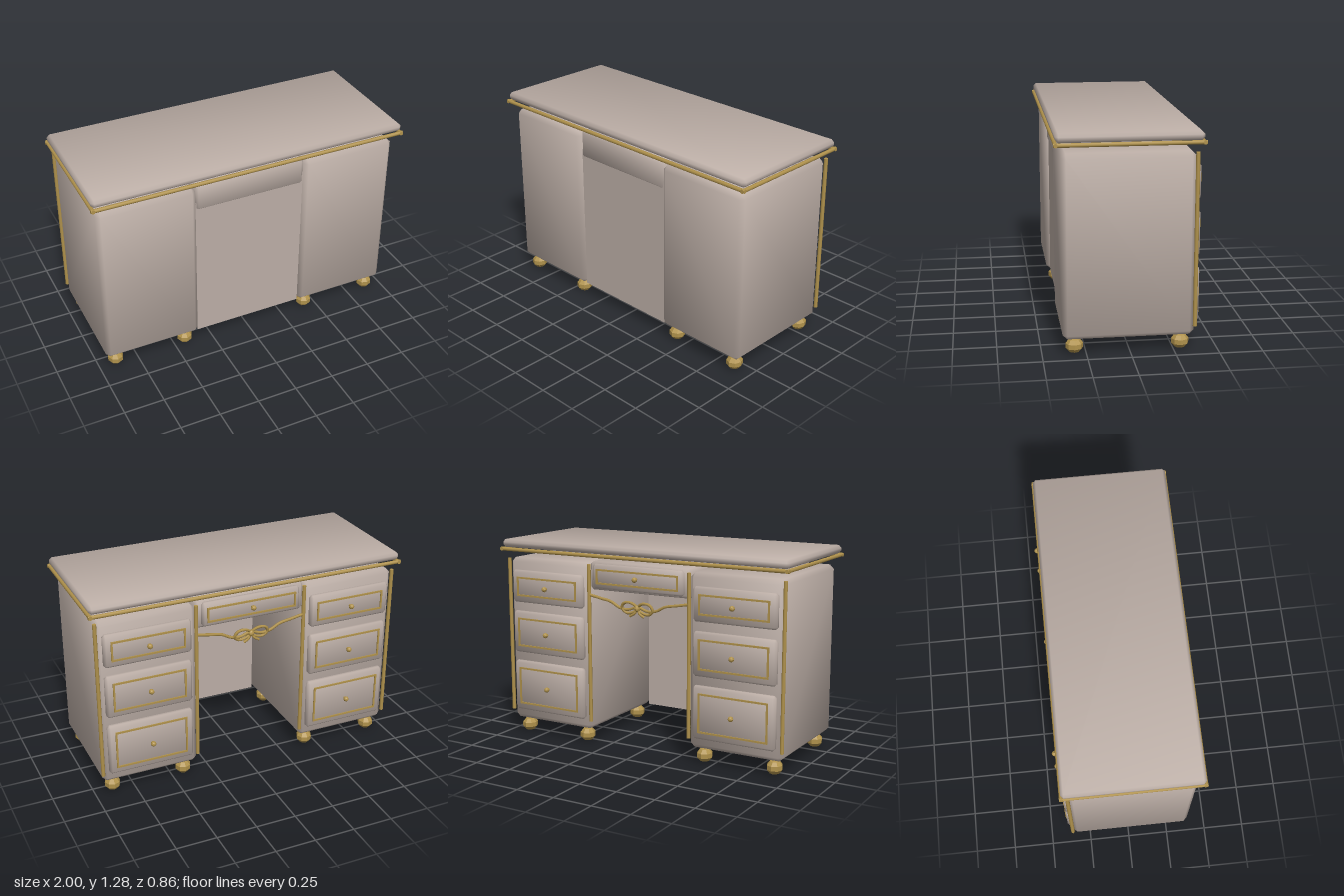
import * as THREE from 'three';
import { ConvexGeometry } from 'three/addons/geometries/ConvexGeometry.js';

const body = new THREE.MeshStandardMaterial({ color: 0xbcaea6 });
body.name = 'warm grey paint';
const gold = new THREE.MeshStandardMaterial({ color: 0xb0924c });
gold.name = 'antique gold';

// Box with one straight chamfer on every edge and softened normals
function chamferBox(w, h, d, r) {
  const half = [w / 2, h / 2, d / 2];
  const points = [];
  for (let axis = 0; axis < 3; axis++)
    for (const sx of [-1, 1]) for (const sy of [-1, 1]) for (const sz of [-1, 1]) {
      const s = [sx, sy, sz];
      points.push(new THREE.Vector3(...half.map((v, i) => s[i] * (i === axis ? v : v - r))));
    }
  const geo = new ConvexGeometry(points);
  const p = geo.attributes.position, n = geo.attributes.normal;
  const v = new THREE.Vector3();
  for (let i = 0; i < p.count; i++) {
    const c = [p.getX(i), p.getY(i), p.getZ(i)];
    v.fromArray(c.map((k, j) => Math.sign(k) * (Math.abs(Math.abs(k) - half[j]) < 1e-5 ? 1 : 0.36))).normalize();
    n.setXYZ(i, v.x, v.y, v.z);
  }
  return geo;
}

function add(parent, name, geo, mat, x = 0, y = 0, z = 0) {
  const mesh = new THREE.Mesh(geo, mat);
  mesh.name = name;
  mesh.position.set(x, y, z);
  parent.add(mesh);
  return mesh;
}

// Low-poly faceted ball
function facetedBall(r, rings) {
  const geo = new THREE.SphereGeometry(r, 8, rings).toNonIndexed();
  geo.computeVertexNormals();
  return geo;
}

// Drawer front with gilt frame and knob; back is the z of its rear face
function drawer(parent, name, x, y0, y1, width, front, inset, knobY) {
  const g = new THREE.Group();
  g.name = name;
  parent.add(g);
  const y = (y0 + y1) / 2, depth = 0.05;
  add(g, 'drawerFront', chamferBox(width, y1 - y0, depth, 0.014), body, x, y, front + depth / 2);
  const fw = width - 2 * inset, fh = y1 - y0 - 2 * inset, t = 0.011;
  for (const s of [-1, 1]) {
    add(g, 'frameRail', new THREE.BoxGeometry(fw, t, 0.014), gold, x, y + s * (fh - t) / 2, front);
    add(g, 'frameStile', new THREE.BoxGeometry(t, fh, 0.014), gold, x + s * (fw - t) / 2, y, front);
  }
  const stem = add(g, 'knobStem', new THREE.CylinderGeometry(0.007, 0.007, 0.024, 8), gold, x, knobY, front - 0.006);
  stem.rotation.x = Math.PI / 2;
  const knob = add(g, 'knob', facetedBall(0.017, 6), gold, x, knobY, front - 0.022);
  knob.rotation.x = Math.PI / 2;
}

export function createModel() {
  const desk = new THREE.Group();
  desk.name = 'desk';

  // Table top with gilt edging rods
  add(desk, 'tableTop', chamferBox(1.986, 0.05, 0.812, 0.017), body, 0, 1.25, 0.012);
  for (const s of [-1, 1]) {
    const long = add(desk, 'longEdging', new THREE.CylinderGeometry(0.012, 0.012, 2, 8), gold, 0, 1.214, 0.012 + s * 0.404);
    long.rotation.z = Math.PI / 2;
    const short = add(desk, 'shortEdging', new THREE.CylinderGeometry(0.012, 0.012, 0.832, 8), gold, s * 0.988, 1.214, 0.012);
    short.rotation.x = Math.PI / 2;
  }

  // Pedestals with feet, corner rods and three drawers each
  for (const [name, cx] of [['rightPedestal', -0.66], ['leftPedestal', 0.653]]) {
    const p = new THREE.Group();
    p.name = name;
    p.position.x = cx;
    desk.add(p);
    add(p, 'cabinet', chamferBox(0.608, 1.06, 0.744, 0.026), body, 0, 0.628, 0.013);
    for (const s of [-1, 1]) {
      add(p, 'cornerRod', new THREE.CylinderGeometry(0.012, 0.012, 1, 8), gold, s * 0.305, 0.655, -0.361);
      for (const z of [0.316, -0.29]) {
        const foot = add(p, 'foot', facetedBall(0.053, 5), gold, s * 0.231, 0.045, z);
        foot.scale.set(0.95, 0.85, 1);
      }
    }
    drawer(p, 'topDrawer', 0, 0.877, 1.083, 0.535, -0.39, 0.041, 0.98);
    drawer(p, 'middleDrawer', 0, 0.55, 0.818, 0.535, -0.39, 0.041, 0.685);
    drawer(p, 'bottomDrawer', 0, 0.167, 0.492, 0.535, -0.39, 0.041, 0.33);
  }

  // Centre drawer case and modesty panel
  add(desk, 'centreCase', chamferBox(0.704, 0.175, 0.72, 0.017), body, -0.003, 1.085, 0.01);
  drawer(desk, 'centreDrawer', -0.003, 1.012, 1.162, 0.63, -0.376, 0.028, 1.09);
  add(desk, 'modestyPanel', new THREE.BoxGeometry(0.704, 0.95, 0.01), body, -0.003, 0.573, 0.355);

  // Gilt garland with a bow hanging under the centre drawer
  const garland = new THREE.Group();
  garland.name = 'garland';
  garland.position.set(-0.003, 0, -0.362);
  desk.add(garland);
  const tube = (name, pts, r, closed) => add(garland, name, new THREE.TubeGeometry(
    new THREE.CatmullRomCurve3(pts.map(([x, y, z = 0]) => new THREE.Vector3(x, y, z)), closed), 28, r, 6, closed), gold);
  for (const s of [-1, 1]) {
    tube('swag', [[s * 0.35, 0.968], [s * 0.27, 0.953], [s * 0.19, 0.938], [s * 0.13, 0.908], [s * 0.07, 0.9], [0, 0.925]], 0.009, false);
    tube('bowLoop', [[0, 0.912], [s * 0.04, 0.945, -0.012], [s * 0.09, 0.94, -0.012], [s * 0.108, 0.908, -0.006],
      [s * 0.08, 0.88], [s * 0.035, 0.885]], 0.009, true);
    tube('bowTail', [[0, 0.91], [s * 0.02, 0.88, -0.008], [s * 0.05, 0.862, -0.008]], 0.008, false);
  }
  add(garland, 'bowKnot', facetedBall(0.02, 6), gold, 0, 0.912, -0.004);

  return desk;
}
